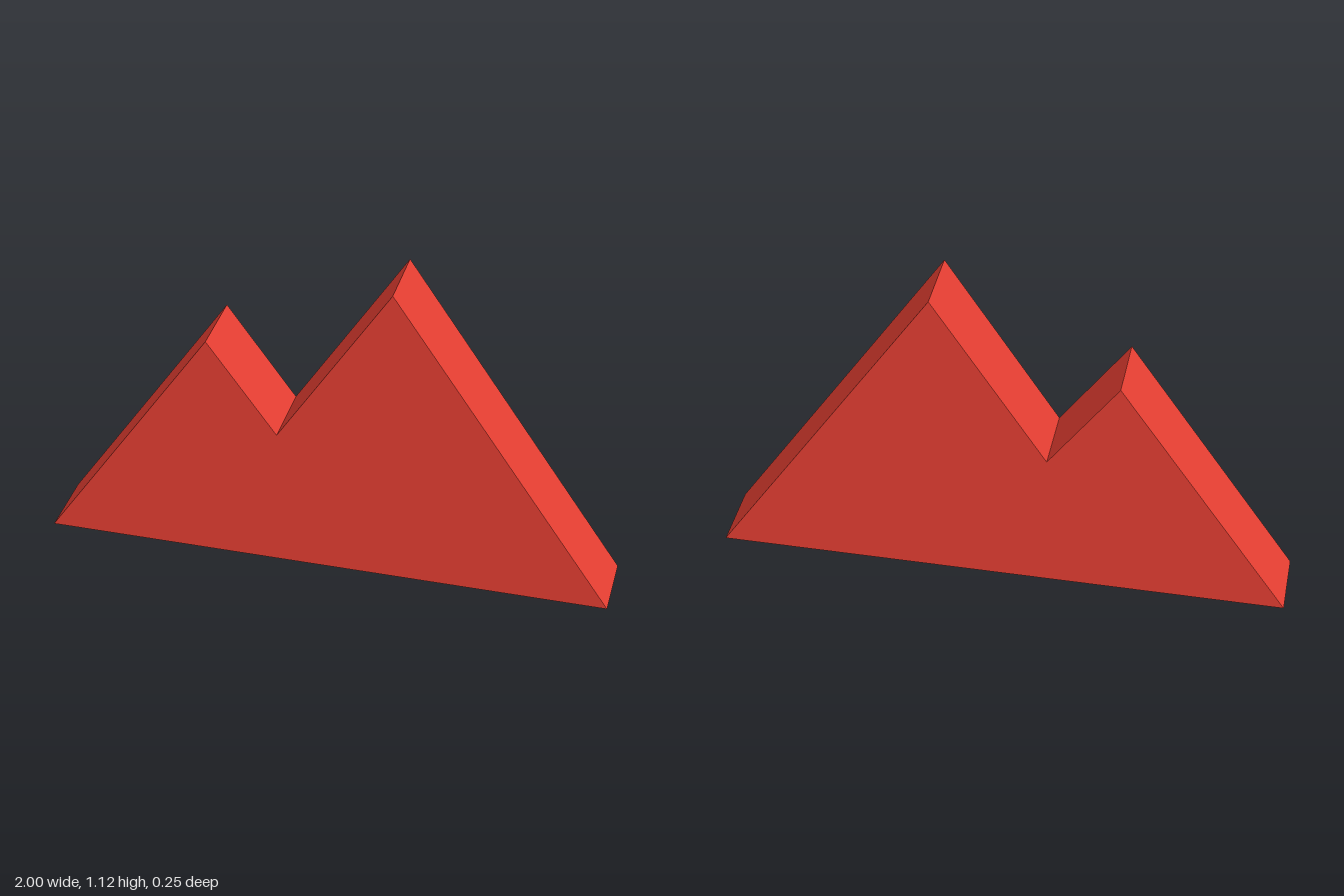
import * as THREE from 'three';

export function createModel() {
  const group = new THREE.Group();
  group.name = 'mountains';

  const red = new THREE.MeshStandardMaterial({ color: 0xf44336 });
  red.name = 'red';

  // Twin-peak outline, from the base corners up over both summits
  const outline = [
    [-1, 0], [1, 0], [0.233, 1.123], [-0.163, 0.52], [-0.405, 0.855],
  ].map(([x, y]) => new THREE.Vector2(x, y));

  // Flat slab with sharp edges, centred in depth
  const depth = 0.252;
  const geometry = new THREE.ExtrudeGeometry(new THREE.Shape(outline), { depth, bevelEnabled: false });
  geometry.translate(0, 0, -depth / 2);

  const ridge = new THREE.Mesh(geometry, red);
  ridge.name = 'twinPeakRidge';
  group.add(ridge);
  return group;
}
